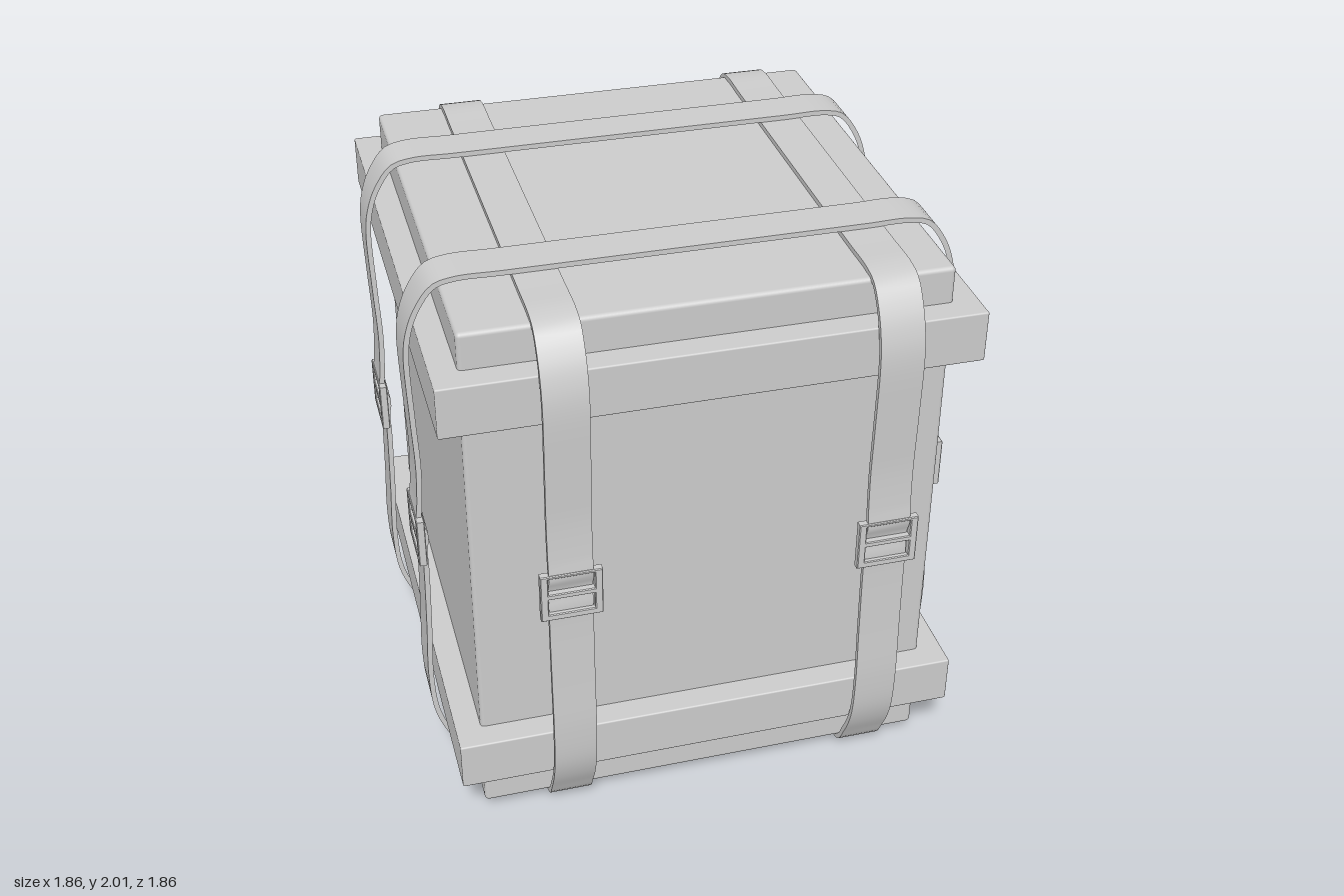
import * as THREE from 'three';
import { RoundedBoxGeometry } from 'three/addons/geometries/RoundedBoxGeometry.js';
import { toCreasedNormals } from 'three/addons/utils/BufferGeometryUtils.js';

const material = new THREE.MeshStandardMaterial({ color: 0xcccccc });
const STRAP_WIDTH = 0.147, STRAP_THICKNESS = 0.018;

function addMesh(parent, name, geometry, x = 0, y = 0, z = 0) {
  const mesh = new THREE.Mesh(geometry, material);
  mesh.name = name;
  mesh.position.set(x, y, z);
  parent.add(mesh);
  return mesh;
}

// Closed strap loop: right half of the outline, mirrored, with an inward offset as the hole
function strapGeometry() {
  const half = [
    [0.6, 2], [0.75, 2], [0.82, 1.98], [0.88, 1.9], [0.91, 1.82], [0.922, 1.74],
    [0.918, 1.5], [0.912, 1.3], [0.92, 1.14], [0.926, 1.09], [0.908, 1.045],
    [0.905, 1.02], [0.913, 0.97], [0.912, 0.9], [0.918, 0.65], [0.926, 0.42],
    [0.916, 0.27], [0.89, 0.18], [0.85, 0.1], [0.81, 0.03], [0.75, 0], [0.6, 0],
  ].map(([x, y]) => new THREE.Vector3(x, y, 0));
  const curve = new THREE.CatmullRomCurve3(half, false, 'centripetal');
  const outer = [], inner = [];
  for (let i = 0; i <= 90; i++) {
    const p = curve.getPointAt(i / 90), d = curve.getTangentAt(i / 90);
    outer.push(new THREE.Vector2(p.x, p.y));
    inner.push(new THREE.Vector2(p.x + d.y * STRAP_THICKNESS, p.y - d.x * STRAP_THICKNESS));
  }
  const close = (pts) => [...pts, ...pts.map((p) => new THREE.Vector2(-p.x, p.y)).reverse()];
  const shape = new THREE.Shape(close(outer));
  shape.holes.push(new THREE.Path(close(inner)));
  const geometry = new THREE.ExtrudeGeometry(shape, { depth: STRAP_WIDTH, bevelEnabled: false });
  geometry.translate(0, 0, -STRAP_WIDTH / 2);
  return toCreasedNormals(geometry, 0.6);
}

function rectangle(Type, x0, y0, x1, y1) {
  return new Type([[x0, y0], [x1, y0], [x1, y1], [x0, y1]].map(([x, y]) => new THREE.Vector2(x, y)));
}

// Ladder buckle: a flat frame with two slots
function buckleGeometry() {
  const shape = rectangle(THREE.Shape, -0.103, -0.09, 0.103, 0.09);
  shape.holes.push(rectangle(THREE.Path, -0.077, 0.015, 0.077, 0.078));
  shape.holes.push(rectangle(THREE.Path, -0.077, -0.066, 0.077, -0.005));
  const geometry = new THREE.ExtrudeGeometry(shape, {
    depth: 0.022, bevelEnabled: true, bevelThickness: 0.003, bevelSize: 0.003, bevelOffset: -0.003, bevelSegments: 1,
  });
  geometry.translate(0, 0, -0.011);
  return geometry;
}

export function createModel() {
  const model = new THREE.Group();
  model.name = 'strappedCrate';

  // Crate body and its two surrounding bands
  addMesh(model, 'crateBody', new RoundedBoxGeometry(1.59, 1.917, 1.585, 3, 0.015), 0, 1.006, 0);
  addMesh(model, 'lowerBand', new RoundedBoxGeometry(1.762, 0.178, 1.762, 2, 0.006), 0, 0.311, 0);
  addMesh(model, 'upperBand', new RoundedBoxGeometry(1.762, 0.178, 1.762, 2, 0.006), 0, 1.749, 0);

  // Four strap loops, each with a buckle on both upright sides
  const strap = strapGeometry(), buckle = buckleGeometry();
  const addLoop = (name, x, z, angle, squash) => {
    const loop = new THREE.Group();
    loop.name = name;
    loop.position.set(x, 0, z);
    loop.rotation.y = angle;
    const band = addMesh(loop, 'strap', strap, 0, 1 - squash, 0);
    band.scale.y = squash;
    for (const side of [-1, 1]) {
      addMesh(loop, 'buckle', buckle, side * 0.915, 1.02, 0).rotation.y = side * Math.PI / 2;
    }
    model.add(loop);
  };
  for (const z of [-0.407, 0.437]) addLoop('sidewaysStrap', 0, z, 0, 1);
  for (const x of [-0.493, 0.583]) addLoop('lengthwaysStrap', x, 0, Math.PI / 2, 0.982);

  return model;
}
